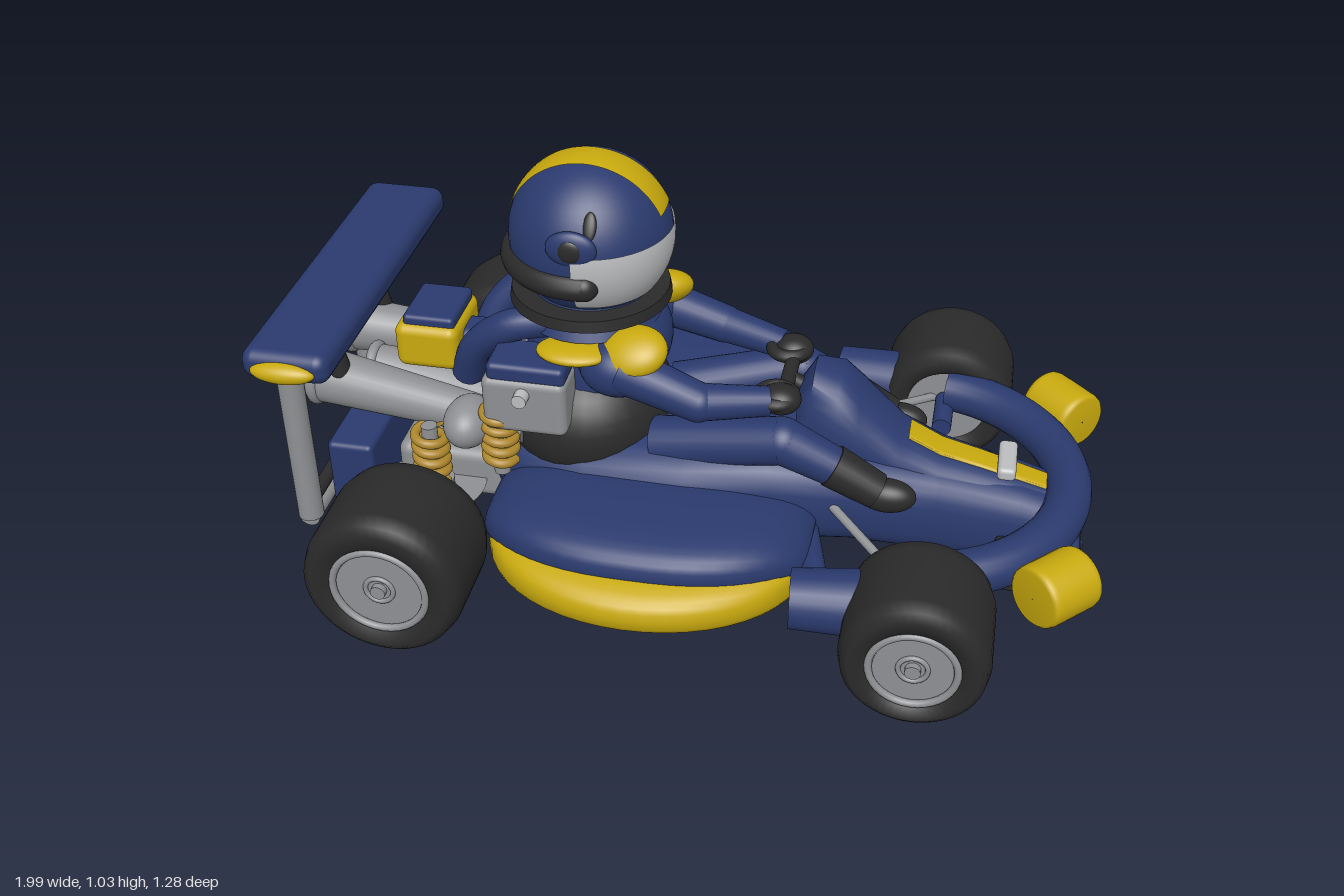
import * as THREE from 'three';
import { toCreasedNormals } from 'three/addons/utils/BufferGeometryUtils.js';
import { RoundedBoxGeometry } from 'three/addons/geometries/RoundedBoxGeometry.js';

const mat = (name, color) => {
  const m = new THREE.MeshStandardMaterial({ color });
  m.name = name;
  return m;
};
const V = (x, y, z) => new THREE.Vector3(x, y, z);

// Rounded hull along x; stations are [x, bottom, top, zMin, zMax]
function loft(stations, power = 0.7, n = 32) {
  const pos = [], idx = [];
  const bend = (v) => Math.sign(v) * Math.abs(v) ** power;
  for (const [x, y0, y1, z0, z1] of stations)
    for (let j = 0; j < n; j++) {
      const t = (j / n) * Math.PI * 2;
      pos.push(x, (y0 + y1) / 2 + (y1 - y0) / 2 * bend(Math.sin(t)), (z0 + z1) / 2 + (z1 - z0) / 2 * bend(Math.cos(t)));
    }
  const last = stations.length - 1;
  for (const i of [0, last]) {
    const [x, y0, y1, z0, z1] = stations[i];
    pos.push(x, (y0 + y1) / 2, (z0 + z1) / 2);
  }
  const c = stations.length * n;
  for (let j = 0; j < n; j++) {
    const k = (j + 1) % n;
    for (let i = 0; i < last; i++) {
      const a = i * n + j, b = a + n, d = i * n + k, e = d + n;
      idx.push(a, b, d, b, e, d);
    }
    idx.push(c, j, k, c + 1, last * n + k, last * n + j);
  }
  const g = new THREE.BufferGeometry();
  g.setAttribute('position', new THREE.Float32BufferAttribute(pos, 3));
  g.setIndex(idx);
  return toCreasedNormals(g, 0.9);
}

// Side pod whose section follows a rule of u, running from -1 (rear) to 1 (front)
function pod(side, half, section) {
  const rows = [];
  for (let i = 0; i <= 24; i++) {
    const u = 0.995 * Math.sin((i / 24 - 0.5) * Math.PI);
    const [y0, y1, inner, outer] = section(Math.abs(u));
    rows.push([-.07 + half * u, y0, y1, ...(side > 0 ? [inner, outer] : [-outer, -inner])]);
  }
  return loft(rows);
}

export function createModel() {
  const root = new THREE.Group();
  root.name = 'raceKart';
  const blue = mat('bodyBlue', 0x2a3a6e), yellow = mat('trimYellow', 0xc8a90e), black = mat('rubberBlack', 0x2a2a2b);
  const grey = mat('metalGrey', 0x8e9093), pale = mat('visorSilver', 0xbcbdbf), bronze = mat('springBronze', 0xac862c);

  const add = (name, geo, m, x = 0, y = 0, z = 0, rx = 0, ry = 0, rz = 0) => {
    const o = new THREE.Mesh(geo, m);
    o.name = name;
    o.position.set(x, y, z);
    o.rotation.set(rx, ry, rz);
    root.add(o);
    return o;
  };
  const box = (name, m, w, h, d, x, y, z, r = 0.012, rz = 0) =>
    add(name, new RoundedBoxGeometry(w, h, d, 4, r), m, x, y, z, 0, 0, rz);
  const ball = (name, m, rx, ry, rz, x, y, z) =>
    add(name, new THREE.SphereGeometry(1, 32, 20).scale(rx, ry, rz), m, x, y, z);
  const lathe = (name, m, profile, x, y, z) =>
    add(name, new THREE.LatheGeometry(profile.map((p) => new THREE.Vector2(...p)), 48), m, x, y, z);
  const rod = (name, m, a, b, ra, rb = ra) => {
    const dir = b.clone().sub(a), p = a.clone().add(b).multiplyScalar(0.5);
    const o = add(name, new THREE.CylinderGeometry(rb, ra, dir.length(), 24), m, p.x, p.y, p.z);
    o.quaternion.setFromUnitVectors(V(0, 1, 0), dir.normalize());
    return o;
  };
  const tube = (name, m, pts, r) =>
    add(name, new THREE.TubeGeometry(new THREE.CatmullRomCurve3(pts), pts.length * 6, r, 16), m);

  // Central body, cowl, hood stripe and floor
  add('hull', loft([[-0.5, .15, .28, -.13, .13], [-.45, .11, .32, -.19, .19], [-.25, .1, .35, -.25, .25], [0, .1, .37, -.25, .25],
    [.2, .1, .39, -.23, .23], [.4, .1, .36, -.19, .19], [.6, .06, .31, -.13, .13], [.8, .04, .27, -.11, .11], [.9, .04, .24, -.1, .1]]), blue);
  add('cowl', loft([[.25, .24, .47, -.09, .09], [.285, .2, .532, -.11, .11], [.35, .2, .525, -.12, .12], [.4, .2, .48, -.115, .115],
    [.5, .2, .378, -.105, .105], [.6, .19, .328, -.095, .095], [.7, .18, .303, -.085, .085], [.86, .17, .258, -.06, .06]], 0.85), blue);
  add('hoodStripe', loft([[.52, .345, .372, -.038, .038], [.6, .305, .332, -.037, .037], [.7, .28, .307, -.035, .035], [.86, .235, .262, -.03, .03]], 0.25), yellow);
  ball('undertray', black, .3, .02, .2, -.2, .115, 0);
  box('noseFloor', blue, .4, .016, .2, .71, .025, 0, .007, -.06);
  ball('splitterTip', yellow, .05, .008, .045, .885, .009, 0);
  box('hoodBracket', pale, .045, .035, .13, .76, .305, 0);

  for (const s of [1, -1]) {
    // Side pods
    add('sidePod', pod(s, .395, (u) => [.16, .2 + .1 * (1 - u ** 4) ** .5, .16, .33 + .185 * (1 - u ** 2.6) ** .7]), blue);
    add('podSkirt', pod(s, .385, (u) => [.125 - .03 * (1 - u ** 4) ** .5, .19 + .04 * (1 - u ** 4) ** .5, .21, .3 + .287 * (1 - u * u) ** .5]), yellow);

    // Wheels
    for (const [x, r] of [[-.625, .192], [.595, .17]]) {
      const w = .135, y = r + .007, z = s * .505;
      lathe('tyre', black, [[.095, -.1], [r * .64, -w + .005], [r * .85, -w], [r * .95, -w + .015], [r, -w + .05],
        [r, w - .05], [r * .95, w - .015], [r * .85, w], [r * .64, w - .005], [.095, .1]], x, y, z).rotation.x = Math.PI / 2;
      add('wheelDisc', new THREE.CylinderGeometry(r * .62, r * .62, .24, 36), grey, x, y, z, Math.PI / 2);
      add('wheelRim', new THREE.TorusGeometry(r * .58, .009, 8, 36), grey, x, y, z + s * .125);
      add('hubRing', new THREE.TorusGeometry(.033, .006, 8, 24), grey, x, y, z + s * .122);
      add('hubCap', new THREE.CylinderGeometry(.018, .018, .27, 16), grey, x, y, z, Math.PI / 2);
    }

    // Front suspension and fairings
    rod('wheelFairing', blue, V(.3, .195, s * .47), V(.47, .195, s * .455), .07, .08);
    rod('steeringArm', blue, V(.59, .2, s * .25), V(.59, .2, s * .38), .025);
    rod('wishbone', grey, V(.36, .25, s * .19), V(.56, .2, s * .39), .011);
    box('bumperMount', black, .1, .13, .06, .8, .1, s * .14);
    rod('fairingStay', blue, V(.3, .18, s * .2), V(.36, .19, s * .44), .03);

    // Headlamps: drums lying across the corners of the bumper
    lathe('headlamp', yellow, [[.001, -.075], [.066, -.075], [.073, -.068], [.076, -.055], [.076, .055], [.073, .068], [.066, .075], [.001, .075]],
      .893, .23, s * .355).quaternion.setFromUnitVectors(V(0, 1, 0), V(1, 0, -s).normalize());

    // Rear springs and dishes
    add('springDish', new THREE.CylinderGeometry(.13, .11, .03, 36), grey, -.64, .16, s * .19);
    rod('springCup', grey, V(-.63, .16, s * .215), V(-.63, .21, s * .215), .05);
    for (const [x, y] of [[-.63, .21], [-.45, .3]]) {
      const coil = [];
      for (let i = 0; i <= 40; i++) coil.push(V(x + .036 * Math.cos(i * .785), y + i * .0038, s * .215 + .036 * Math.sin(i * .785)));
      tube('spring', bronze, coil, .012);
      rod('damper', grey, V(x, y - .04, s * .215), V(x, y + .16, s * .215), .02);
    }

    // Exhausts and engine blocks
    rod('exhaust', grey, V(-.4, .36, s * .16), V(-.94, .42, s * .12), .042, .07);
    add('exhaustMouth', new THREE.TorusGeometry(.062, .016, 12, 32), grey, -.94, .42, s * .12, 0, Math.PI / 2);
    ball('exhaustBulb', grey, .06, .06, .08, -.53, .39, s * .205);
    box('engineBlock', grey, .205, .15, .14, -.375, .48, s * .185, .02);
    box('engineCover', blue, .19, .05, .125, -.37, .567, s * .185, .015);
    add('engineBolt', new THREE.CylinderGeometry(.018, .018, .04, 16), pale, -.375, .52, s * .265, Math.PI / 2);

    // Rear frame sides and wing ends
    rod('framePost', grey, V(-.965, .06, s * .235), V(-.965, .53, s * .235), .032);
    rod('wingStrut', black, V(-.86, .41, s * .15), V(-.91, .62, s * .15), .028);
    ball('wingTip', yellow, .078, .026, .03, -.88, .635, s * .43);

    // Driver's limbs
    ball('shoulder', blue, .09, .07, .07, -.17, .555, s * .15);
    ball('shoulderPad', yellow, .085, .045, .07, -.13, .605, s * .15).rotation.set(s * .5, 0, .2);
    ball('backPad', yellow, .09, .022, .06, -.27, .6, s * .165);
    rod('upperArm', blue, V(-.16, .565, s * .165), V(.03, .5, s * .175), .058, .048);
    ball('elbow', blue, .048, .048, .048, .03, .5, s * .175);
    rod('forearm', blue, V(.03, .5, s * .175), V(.19, .49, s * .125), .046, .036);
    ball('glove', black, .05, .036, .045, .215, .49, s * .11);
    add('steeringGrip', new THREE.TorusGeometry(.042, .016, 12, 28), black, .205, .495, s * .105, Math.PI / 2);
    rod('thigh', blue, V(-.08, .33, s * .12), V(.23, .405, s * .16), .065, .058);
    ball('knee', blue, .058, .058, .058, .23, .405, s * .16);
    rod('shin', blue, V(.23, .405, s * .16), V(.36, .345, s * .16), .058, .048);
    rod('boot', black, V(.35, .35, s * .16), V(.46, .29, s * .16), .053, .045);
    ball('bootToe', black, .07, .042, .04, .485, .28, s * .16);
    tube('shoulderHose', blue, [V(-.57, .44, s * .07), V(-.53, .54, s * .1), V(-.44, .62, s * .12), V(-.33, .64, s * .1)], .04);
    ball('visorHinge', blue, .06, .045, .02, -.26, .885, s * .183);
    ball('hingePin', black, .028, .028, .01, -.26, .885, s * .197);
    ball('helmetVent', black, .016, .034, .007, -.22, .935, s * .162).rotation.x = -s * .54;
  }

  // Front bumper and grille
  add('frontBumper', new THREE.TorusGeometry(.385, .055, 20, 48, 2.8).rotateZ(-1.4).rotateX(Math.PI / 2), blue, .53, .235, 0);
  box('frontGrille', blue, .1, .2, .42, .895, .12, 0, .015);
  box('frontGrillePanel', black, .016, .155, .33, .943, .112, 0, .007);
  for (const z of [-.125, -.045, .045, .125]) box('frontGrilleRib', blue, .02, .15, .016, .946, .112, z, .007);
  box('rearRadiator', blue, .12, .21, .34, -.87, .135, 0, .015);
  for (let i = -2; i <= 2; i++) box('rearGrilleBar', black, .02, .16, .042, -.928, .135, i * .06, .009);

  // Rear axle, frame, gear and wing
  rod('rearAxle', grey, V(-.625, .15, -.4), V(-.625, .15, .4), .022);
  rod('frameTop', grey, V(-.965, .525, -.25), V(-.965, .525, .25), .027);
  rod('frameBottom', grey, V(-.965, .06, -.25), V(-.965, .06, .25), .027);
  rod('frameBar', black, V(-.955, .11, -.23), V(-.955, .11, .23), .018);
  rod('gearbox', grey, V(-.84, .385, 0), V(-.45, .3, 0), .05, .1);
  add('gearRing', new THREE.TorusGeometry(.045, .014, 12, 32), grey, -.84, .385, 0, 0, Math.PI / 2);
  box('engineBase', grey, .28, .14, .3, -.61, .18, 0, .03);
  box('rearWing', blue, .21, .078, .865, -.88, .64, 0, .032);

  // Fuel tank behind the driver
  box('fuelTank', yellow, .16, .12, .2, -.665, .51, 0, .025);
  box('tankLid', blue, .13, .035, .165, -.66, .575, 0, .012);
  box('tankMount', blue, .14, .16, .1, -.54, .46, 0, .03);

  // Seat, torso and steering bar
  ball('seat', black, .215, .185, .225, -.28, .355, 0);
  ball('torso', blue, .17, .23, .16, -.26, .5, 0);
  ball('chest', blue, .13, .12, .18, -.2, .55, 0);
  rod('steeringBar', black, V(.22, .485, -.12), V(.22, .485, .12), .018);
  rod('steeringColumn', black, V(.22, .48, 0), V(.33, .42, 0), .02);

  // Helmet with visor, stripe, chin band and collar
  const hx = -.26, hy = .837, hr = .195;
  add('helmet', new THREE.SphereGeometry(hr, 48, 32), blue, hx, hy, 0);
  add('visor', new THREE.SphereGeometry(hr + .004, 40, 20, Math.PI / 2, Math.PI, 1.42, .8), pale, hx, hy, 0).material.side = THREE.DoubleSide;
  add('helmetStripe', new THREE.SphereGeometry(hr + .003, 40, 8, Math.PI + .4, Math.PI - .1, Math.PI / 2 - .23, .46).rotateX(Math.PI / 2), yellow, hx, hy, 0);
  add('chinBand', new THREE.TorusGeometry(.183, .033, 14, 40, Math.PI + .3).rotateZ(Math.PI / 2 - .15).rotateX(Math.PI / 2), black, hx, .787, 0);
  for (const s of [1, -1]) ball('bandEnd', black, .033, .033, .033, hx + .027, .787, s * .181);
  add('collar', new THREE.CylinderGeometry(.19, .195, .028, 40), black, -.265, .684, 0);
  add('chinRing', new THREE.CylinderGeometry(.13, .145, .04, 36), blue, -.262, .71, 0);
  add('neck', new THREE.CylinderGeometry(.14, .17, .06, 32), blue, -.265, .655, 0);
  return root;
}
